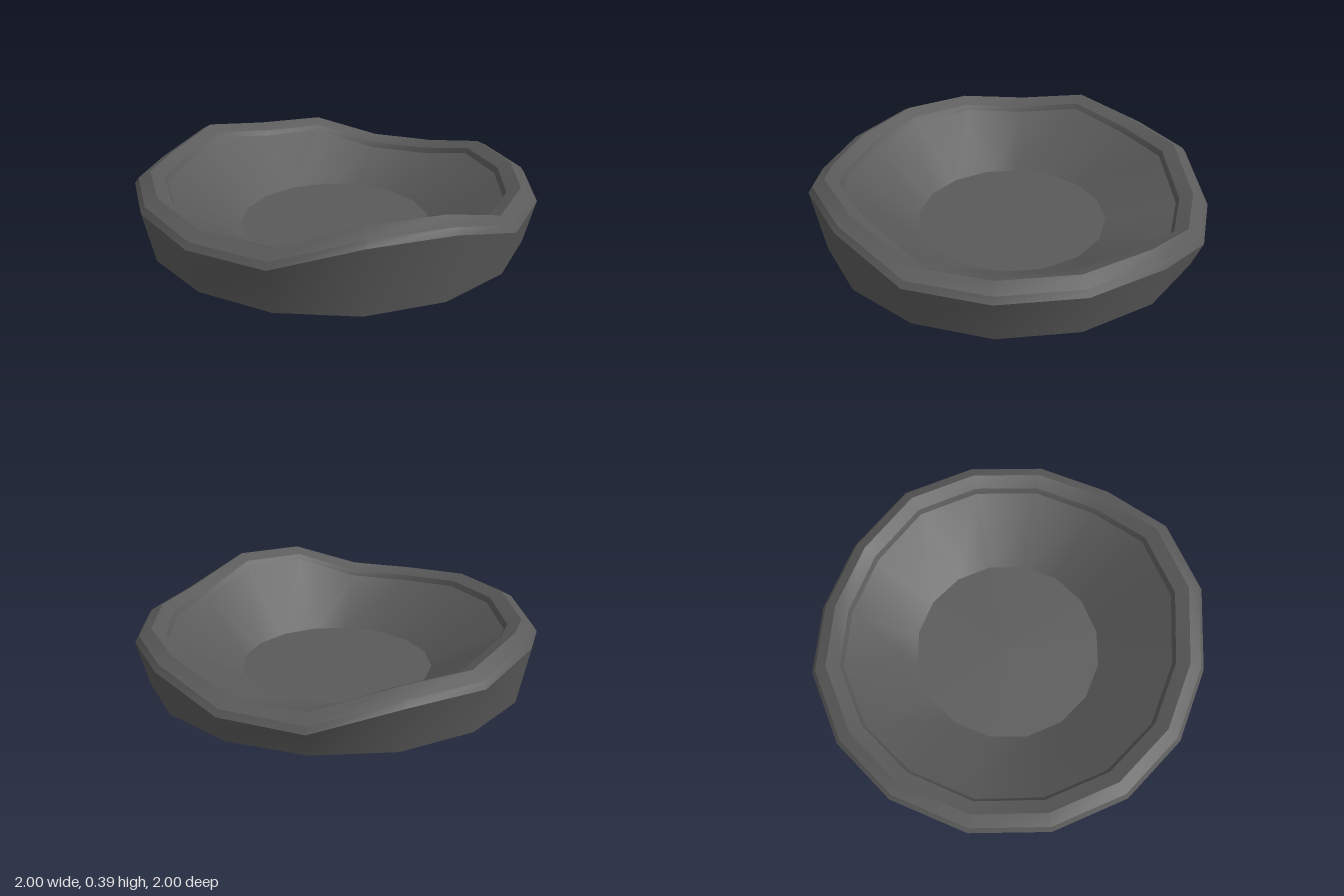
import * as THREE from 'three';

const SIDES = 16;
// Crest height at each corner, going round from the front (+z) towards +x
const CREST = [0.28, 0.28, 0.28, 0.28, 0.195, 0.18, 0.28, 0.28,
  0.34, 0.28, 0.31, 0.31, 0.28, 0.28, 0.39, 0.39];

// Profile rings: radius plus either a fixed height or a drop below the crest
const RINGS = {
  base: { r: 0.95, y: 0 },
  shoulder: { r: 1, drop: 0.06 },
  lip: { r: 0.98, drop: 0.032 },
  crest: { r: 0.92, drop: 0 },
  innerLip: { r: 0.855, drop: 0.032 },
  innerEdge: { r: 0.84, drop: 0.06 },
  floor: { r: 0.49, y: 0.005 },
};

// Closed band between two rings, smooth around and sharp at its edges
function band(lower, upper) {
  const points = [];
  const index = [];
  for (const ring of [lower, upper]) {
    for (let i = 0; i < SIDES; i++) {
      const a = (i / SIDES) * Math.PI * 2;
      const y = ring.y ?? CREST[i] - ring.drop;
      points.push(Math.sin(a) * ring.r, y, Math.cos(a) * ring.r);
    }
  }
  for (let i = 0; i < SIDES; i++) {
    const j = (i + 1) % SIDES;
    index.push(i, j, SIDES + j, i, SIDES + j, SIDES + i);
  }
  const geometry = new THREE.BufferGeometry();
  geometry.setAttribute('position', new THREE.Float32BufferAttribute(points, 3));
  geometry.setIndex(index);
  geometry.computeVertexNormals();
  return geometry;
}

export function createModel() {
  const model = new THREE.Group();
  model.name = 'unevenBowl';
  const stone = new THREE.MeshStandardMaterial({ color: 0x5a5a5a });
  stone.name = 'dark grey stone';

  const add = (name, geometry) => {
    const mesh = new THREE.Mesh(geometry, stone);
    mesh.name = name;
    model.add(mesh);
    return mesh;
  };

  // Wall, rounded rim and sloping inside
  const R = RINGS;
  add('outerWall', band(R.base, R.shoulder));
  add('outerBevel', band(R.shoulder, R.lip));
  add('rimOuterSlope', band(R.lip, R.crest));
  add('rimInnerSlope', band(R.crest, R.innerLip));
  add('innerBevel', band(R.innerLip, R.innerEdge));
  add('innerSlope', band(R.innerEdge, R.floor));

  // Flat floor and underside
  const floor = add('floor', new THREE.CircleGeometry(R.floor.r, SIDES).rotateX(-Math.PI / 2));
  floor.position.y = R.floor.y;
  add('underside', new THREE.CircleGeometry(R.base.r, SIDES).rotateX(Math.PI / 2));

  return model;
}
